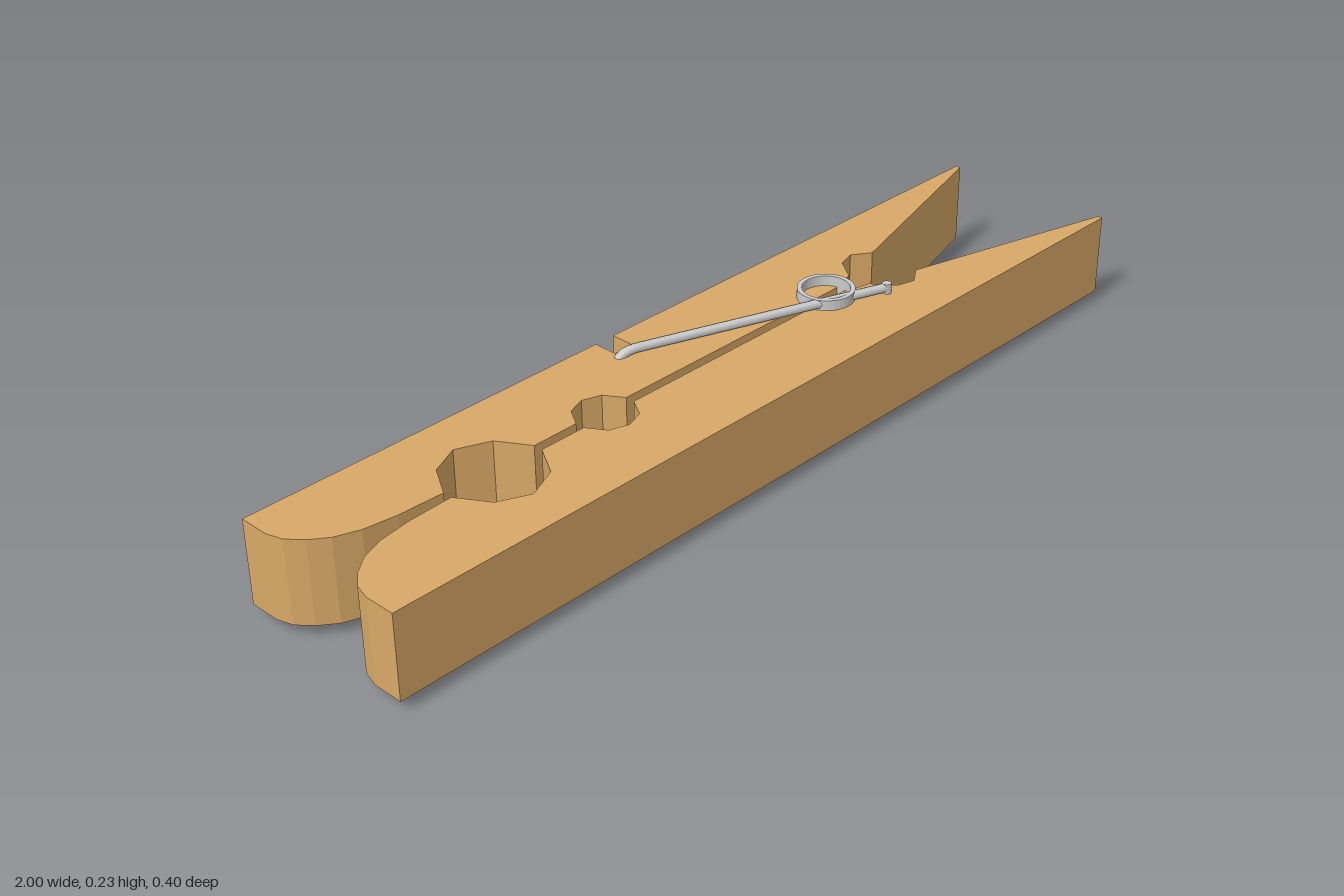
import * as THREE from 'three';

const wood = new THREE.MeshStandardMaterial({ color: 0xd8a866, flatShading: true });
const steel = new THREE.MeshStandardMaterial({ color: 0xcccccc });

// Inner edge of one jaw as [x, distance from the centre plane], tip to handle
const innerEdge = [
  [-1, 0.135], [-0.99, 0.1], [-0.965, 0.07], [-0.93, 0.043], [-0.88, 0.024], [-0.81, 0.014], [-0.71, 0.01],
  [-0.67, 0.077], [-0.605, 0.107], [-0.535, 0.077], [-0.495, 0.01],
  [-0.39, 0.01], [-0.365, 0.05], [-0.325, 0.064], [-0.285, 0.05], [-0.26, 0.01],
  [0.35, 0.01], [0.37, 0.018], [0.41, 0.027], [0.445, 0.075], [0.485, 0.086], [0.525, 0.059],
  [1, 0.19], [1, 0.201],
];

function jaw(name, side, notch) {
  const outline = [...innerEdge, ...notch, [-1, 0.201]];
  const shape = new THREE.Shape(outline.map(([x, d]) => new THREE.Vector2(x, -side * d)));
  const geometry = new THREE.ExtrudeGeometry(shape, { depth: 0.18, bevelEnabled: false });
  geometry.rotateX(-Math.PI / 2).translate(0, 0.025, 0);
  const mesh = new THREE.Mesh(geometry, wood);
  mesh.name = name;
  return mesh;
}

// Wire loop: straight arms above and below, rounded where it hooks into the notch
function springWire() {
  const lo = 0.01, hi = 0.217, r = 0.05;
  const at = (t, y) => new THREE.Vector3(0.405 - 0.57 * t, y, 0.078 - 0.21 * t);
  const path = new THREE.CurvePath();
  const bend = 1 - r / 0.6;
  path.add(new THREE.LineCurve3(at(0, lo), at(bend, lo)));
  path.add(new THREE.QuadraticBezierCurve3(at(bend, lo), at(1, lo), at(1, lo + 0.03)));
  path.add(new THREE.LineCurve3(at(1, lo + 0.03), at(1, hi - 0.03)));
  path.add(new THREE.QuadraticBezierCurve3(at(1, hi - 0.03), at(1, hi), at(bend, hi)));
  path.add(new THREE.LineCurve3(at(bend, hi), at(0, hi)));
  const loop = new THREE.Mesh(new THREE.TubeGeometry(path, 120, 0.01, 8), steel);
  loop.name = 'springArms';

  // Upright leg closing the loop at the handle end
  const leg = new THREE.Mesh(new THREE.CylinderGeometry(0.01, 0.01, 0.227, 8), steel);
  leg.position.set(0.405, 0.1135, 0.078);
  leg.name = 'springLeg';
  return [loop, leg];
}

// Thin-walled coil around the pivot
function springCoil() {
  const ring = new THREE.Shape().absarc(0, 0, 0.06, 0, Math.PI * 2);
  ring.holes.push(new THREE.Path().absarc(0, 0, 0.05, 0, Math.PI * 2, true));
  const geometry = new THREE.ExtrudeGeometry(ring, { depth: 0.227, bevelEnabled: false, curveSegments: 16 });
  geometry.rotateX(-Math.PI / 2).translate(0.305, 0, 0);
  const mesh = new THREE.Mesh(geometry, steel);
  mesh.name = 'springCoil';
  return mesh;
}

export function createModel() {
  const model = new THREE.Group();
  model.name = 'clothespin';
  model.add(jaw('frontJaw', 1, []));
  model.add(jaw('backJaw', -1, [[-0.107, 0.201], [-0.107, 0.147], [-0.155, 0.147], [-0.155, 0.201]]));

  const spring = new THREE.Group();
  spring.name = 'spring';
  spring.add(springCoil(), ...springWire());
  model.add(spring);
  return model;
}
